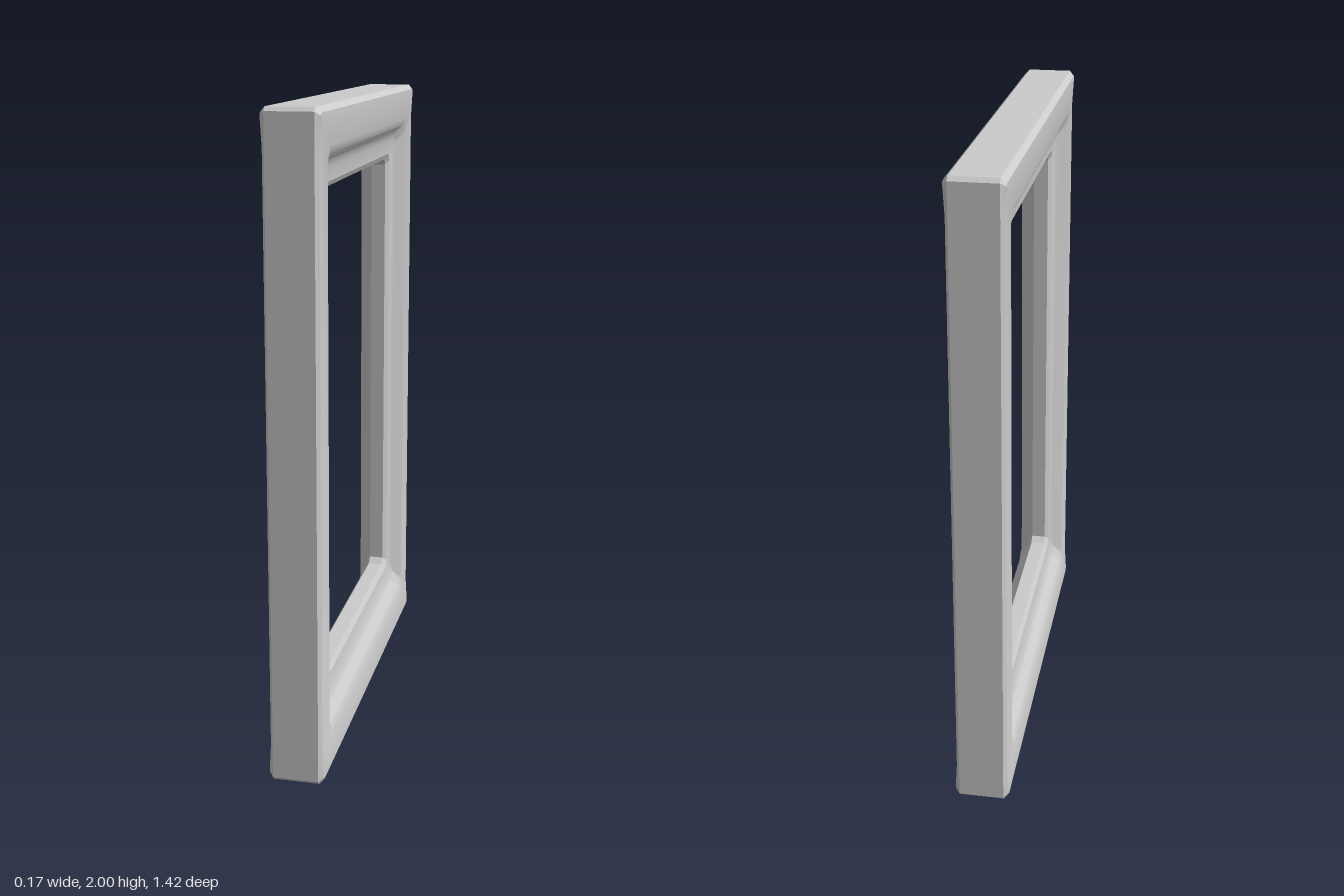
import * as THREE from 'three';
import { toCreasedNormals } from 'three/addons/utils/BufferGeometryUtils.js';

const HALF_WIDTH = 0.71;
const HALF_HEIGHT = 1;

// Moulding section on one face: [inset of stile, inset of rail, depth, corner cut, stile hollow]
const section = [
  [0, 0, 0.07, 0.012, 0],
  [0.015, 0.015, 0.085, 0.008, 0.005],
  [0.11, 0.11, 0.085, 0.02, 0.005],
  [0.122, 0.134, 0.074, 0.025, 0.002],
  [0.138, 0.16, 0.05, 0.028, 0],
  [0.152, 0.182, 0.04, 0.028, 0],
  [0.19, 0.228, 0.036, 0.024, 0],
  [0.205, 0.246, 0.024, 0.02, 0],
];

// One closed loop around the frame, with cut corners
function loop([insetZ, insetY, depth, cut, hollow], side) {
  const a = HALF_WIDTH - insetZ, b = HALF_HEIGHT - insetY;
  const m = Math.min(0.89, b - cut - 0.02);
  const half = [
    [a - cut, b, 0], [a, b - cut, 0], [a, m, hollow],
    [a, -m, hollow], [a, cut - b, 0], [a - cut, -b, 0],
  ];
  const points = [...half, ...half.map(([z, y, h]) => [-z, -y, h])];
  return points.map(([z, y, h]) => [side * (depth - h), y + HALF_HEIGHT, z]);
}

// Joins the loops in a ring: over one face, through the opening, back over the other
function frameGeometry() {
  const loops = [
    ...section.map((s) => loop(s, 1)),
    ...[...section].reverse().map((s) => loop(s, -1)),
  ];
  const n = loops[0].length, index = [];
  for (let j = 0; j < loops.length; j++) {
    const k = (j + 1) % loops.length;
    for (let i = 0; i < n; i++) {
      const i2 = (i + 1) % n;
      const p = j * n + i, q = j * n + i2, r = k * n + i2, s = k * n + i;
      index.push(p, q, r, p, r, s);
    }
  }
  const geometry = new THREE.BufferGeometry();
  geometry.setAttribute('position', new THREE.Float32BufferAttribute(loops.flat(2), 3));
  geometry.setIndex(index);
  return toCreasedNormals(geometry, 0.45);
}

export function createModel() {
  const group = new THREE.Group();
  group.name = 'windowFrame';
  const frame = new THREE.Mesh(
    frameGeometry(),
    new THREE.MeshStandardMaterial({ color: 0xcccccc })
  );
  frame.name = 'mouldedFrame';
  group.add(frame);
  return group;
}
